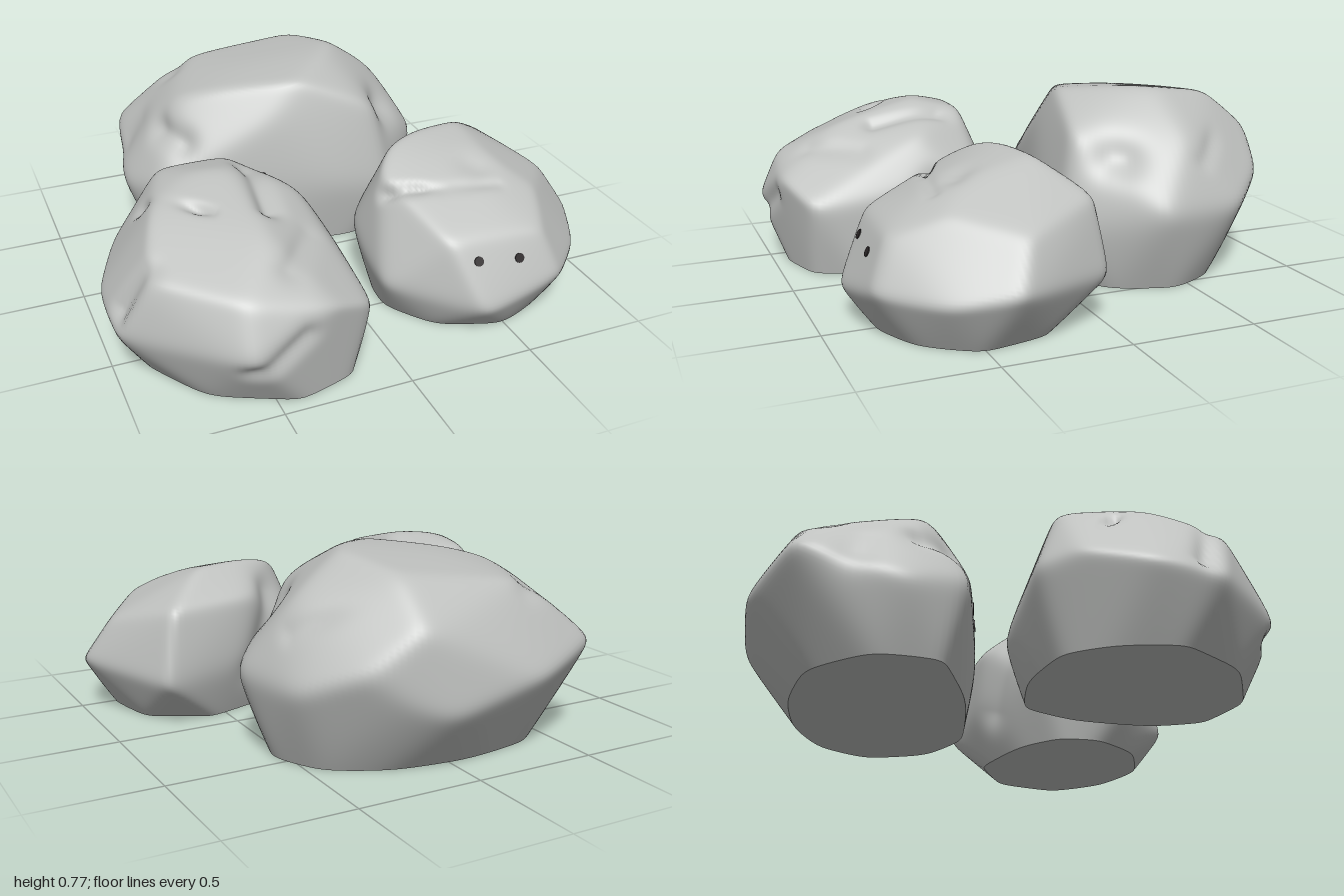
import * as THREE from 'three';
import { ConvexGeometry } from 'three/addons/geometries/ConvexGeometry.js';

const V = (a) => new THREE.Vector3(...a);

// Facet corners: a girdle, its edge midpoints drawn in onto the ground, and the upper corners.
function facetCorners({ girdle, foot: [cx, cz, sx, sz], upper }) {
  const ring = girdle.map(V);
  const base = ring.map((v, i) => {
    const mid = v.clone().lerp(ring[(i + 1) % ring.length], 0.5);
    return new THREE.Vector3(cx + (mid.x - cx) * sx, 0, cz + (mid.z - cz) * sz);
  });
  return [...ring, ...base, ...upper.map(V)];
}

// Returns radius(direction): facets of the hull blended softly, minus the dents.
function makeSurface(rock) {
  const c = V(rock.core), planes = [], SOFT = 40;
  const pos = new ConvexGeometry(facetCorners(rock)).getAttribute('position');
  const [p, q, r] = [0, 1, 2].map(() => new THREE.Vector3());
  for (let i = 0; i < pos.count; i += 3) {
    [p, q, r].forEach((v, k) => v.fromBufferAttribute(pos, i + k));
    const n = q.clone().sub(p).cross(r.clone().sub(p)).normalize();
    const d = n.dot(p.clone().sub(c));
    if (d < 0.02 || n.y < -0.98 || planes.some((o) => o.n.dot(n) > 0.995)) continue;
    planes.push({ n, d });
  }
  const dents = rock.dents.map(([a, b, width, depth]) => ({ line: new THREE.Line3(V(a), V(b)), width, depth }));
  const near = new THREE.Vector3();
  return (dir) => {
    let sum = 0;
    for (const { n, d } of planes) sum += Math.pow(Math.max(0, n.dot(dir)) / d, SOFT);
    let radius = 1.015 / Math.max(Math.pow(sum, 1 / SOFT), 0.05);
    const point = dir.clone().multiplyScalar(radius).add(c);
    for (const { line, width, depth } of dents) {
      line.closestPointToPoint(point, true, near);
      radius -= depth * Math.exp(-near.distanceToSquared(point) / (width * width));
    }
    return radius;
  };
}

// Rings run from the top of the rock down to its flat base.
function rockGeometry(core, surface, cols = 144, rows = 80) {
  const c = V(core), points = [], index = [];
  const at = (phi, theta) => {
    const dir = new THREE.Vector3().setFromSphericalCoords(1, phi, theta);
    return dir.clone().multiplyScalar(surface(dir)).add(c);
  };
  points.push(at(0, 0));
  const ends = [];
  for (let j = 0; j < cols; j++) {
    let lo = Math.PI / 2, hi = Math.PI;
    for (let k = 0; k < 30; k++) {
      const mid = (lo + hi) / 2;
      if (at(mid, j / cols * Math.PI * 2).y > 0) lo = mid; else hi = mid;
    }
    ends.push(lo);
  }
  for (let i = 1; i <= rows; i++) {
    for (let j = 0; j < cols; j++) points.push(at(ends[j] * i / rows, j / cols * Math.PI * 2));
  }
  const id = (i, j) => 1 + (i - 1) * cols + (j % cols);
  for (let j = 0; j < cols; j++) {
    index.push(0, id(1, j), id(1, j + 1));
    for (let i = 1; i < rows; i++) {
      index.push(id(i, j), id(i + 1, j), id(i + 1, j + 1), id(i, j), id(i + 1, j + 1), id(i, j + 1));
    }
  }
  // Flat base with its own vertices keeps the bottom edge sharp
  const rim = points.slice(-cols).map((v) => v.clone().setY(0));
  const first = points.length;
  points.push(new THREE.Vector3(c.x, 0, c.z), ...rim);
  for (let j = 0; j < cols; j++) index.push(first, first + 1 + (j + 1) % cols, first + 1 + j);
  const geometry = new THREE.BufferGeometry().setFromPoints(points);
  geometry.setIndex(index);
  geometry.computeVertexNormals();
  return geometry;
}

// Thin oval plate resting on the front of a rock
function makeEye(core, surface, [x, y], stretch, material) {
  const c = V(core);
  const hit = (px, py) => {
    let lo = core[2], hi = 1.3;
    for (let k = 0; k < 30; k++) {
      const v = new THREE.Vector3(px, py, (lo + hi) / 2).sub(c);
      const length = v.length();
      if (length < surface(v.normalize())) lo = (lo + hi) / 2; else hi = (lo + hi) / 2;
    }
    return new THREE.Vector3(px, py, lo);
  };
  const e = 0.015, point = hit(x, y);
  const normal = hit(x + e, y).sub(hit(x - e, y)).cross(hit(x, y + e).sub(hit(x, y - e))).normalize();
  const eye = new THREE.Mesh(new THREE.CylinderGeometry(0.019, 0.019, 0.006, 20).rotateX(Math.PI / 2), material);
  eye.scale.y = stretch;
  eye.position.copy(point).addScaledVector(normal, 0.001);
  eye.lookAt(eye.position.clone().add(normal));
  eye.name = 'eye';
  return eye;
}

export function createModel() {
  const stone = new THREE.MeshStandardMaterial({ color: 0xbfc1bf });
  stone.name = 'grey stone';
  const dark = new THREE.MeshStandardMaterial({ color: 0x2a2526 });
  dark.name = 'dark eye';
  const model = new THREE.Group();
  model.name = 'rocks';

  const addRock = (name, rock, eyes = [], eyeStretch = 1) => {
    const surface = makeSurface(rock);
    const group = new THREE.Group();
    group.name = name;
    const body = new THREE.Mesh(rockGeometry(rock.core, surface), stone);
    body.name = 'stone';
    group.add(body);
    for (const eye of eyes) group.add(makeEye(rock.core, surface, eye, eyeStretch, dark));
    model.add(group);
  };

  // Large rock at the back
  addRock('backRock', {
    core: [-0.02, 0.3, -0.48], foot: [0, -0.2, 0.89, 0.76],
    girdle: [[0.13, 0.28, -0.01], [0.37, 0.24, -0.01], [0.65, 0.33, -0.33], [0.58, 0.32, -0.7], [0.4, 0.42, -0.89],
      [0.1, 0.24, -0.99], [-0.27, 0.34, -1], [-0.63, 0.4, -0.84], [-0.71, 0.27, -0.43], [-0.6, 0.33, -0.18]],
    upper: [[-0.48, 0.65, -0.36], [-0.33, 0.7, -0.28], [0, 0.74, -0.14], [0.2, 0.77, -0.33], [0.28, 0.77, -0.45],
      [0.2, 0.72, -0.75], [-0.3, 0.66, -0.8], [0.3, 0.62, -0.07], [0.5, 0.61, -0.5], [0.2, 0.56, -0.95],
      [-0.1, 0.6, -0.1]],
    dents: [
      [[0.43, 0.53, -0.2], [0.45, 0.53, -0.22], 0.09, 0.045],
      [[-0.42, 0.66, -0.72], [-0.34, 0.66, -0.84], 0.06, 0.025],
      [[-0.55, 0.52, -0.36], [-0.5, 0.5, -0.24], 0.06, 0.035],
      [[-0.68, 0.4, -0.62], [-0.66, 0.5, -0.6], 0.09, 0.03],
      [[0.36, 0.7, -0.8], [0.52, 0.5, -0.55], 0.04, 0.015],
    ],
  }, [[-0.38, 0.32], [-0.18, 0.345]], 1.4);

  // Creased rock at the front
  addRock('rightRock', {
    core: [-0.54, 0.27, 0.5], foot: [-0.08, 0.5, 0.87, 0.9],
    girdle: [[-0.11, 0.34, 0.15], [-0.3, 0.22, 0.01], [-0.75, 0.32, 0.03], [-0.88, 0.33, 0.15], [-1.01, 0.27, 0.4],
      [-1, 0.23, 0.65], [-0.63, 0.25, 1.01], [-0.3, 0.38, 0.97], [-0.11, 0.3, 0.88], [-0.09, 0.33, 0.52]],
    upper: [[-0.6, 0.65, 0.3], [-0.46, 0.65, 0.33], [-0.42, 0.61, 0.15], [-0.7, 0.6, 0.15], [-0.8, 0.59, 0.45],
      [-0.45, 0.57, 0.7], [-0.22, 0.55, 0.38], [-0.9, 0.45, 0.7], [-0.6, 0.44, 0.93], [-0.13, 0.43, 0.35]],
    dents: [
      [[-0.88, 0.5, 0.22], [-0.6, 0.62, 0.54], 0.025, 0.03],
      [[-0.37, 0.6, 0.25], [-0.38, 0.58, 0.55], 0.05, 0.035],
      [[-0.4, 0.5, 0.85], [-0.24, 0.52, 0.66], 0.05, 0.025],
      [[-0.62, 0.17, 1], [-0.4, 0.3, 1], 0.045, 0.025],
      [[-0.98, 0.3, 0.6], [-0.86, 0.45, 0.65], 0.045, 0.035],
      [[-0.1, 0.35, 0.33], [-0.1, 0.2, 0.33], 0.08, 0.025],
    ],
  });

  // Small rock at the front with a ledge above its eyes
  addRock('leftRock', {
    core: [0.53, 0.26, 0.44], foot: [0.38, 0.45, 0.82, 0.82],
    girdle: [[0.79, 0.19, -0.01], [1.01, 0.23, 0.41], [0.91, 0.19, 0.65], [0.7, 0.2, 0.86], [0.36, 0.14, 0.9],
      [0.06, 0.17, 0.63], [0.06, 0.2, 0.42], [0.08, 0.28, 0.25], [0.4, 0.22, 0.07]],
    upper: [[0.22, 0.6, 0.3], [0.35, 0.62, 0.25], [0.57, 0.61, 0.2], [0.56, 0.55, 0.5], [0.14, 0.53, 0.4],
      [0.5, 0.49, 0.63], [0.72, 0.46, 0.6], [0.4, 0.5, 0.07], [0.75, 0.48, 0.04], [0.9, 0.41, 0.35],
      [0.26, 0.4, 0.76], [0.64, 0.39, 0.79]],
    dents: [
      [[0.08, 0.46, 0.43], [0.32, 0.54, 0.56], 0.025, 0.035],
      [[0.32, 0.54, 0.56], [0.56, 0.53, 0.6], 0.03, 0.025],
      [[0.5, 0.58, 0.48], [0.52, 0.57, 0.5], 0.07, 0.02],
      [[0.25, 0.5, 0.17], [0.35, 0.2, 0.08], 0.08, 0.03],
    ],
  }, [[0.36, 0.32], [0.53, 0.305]]);

  return model;
}
